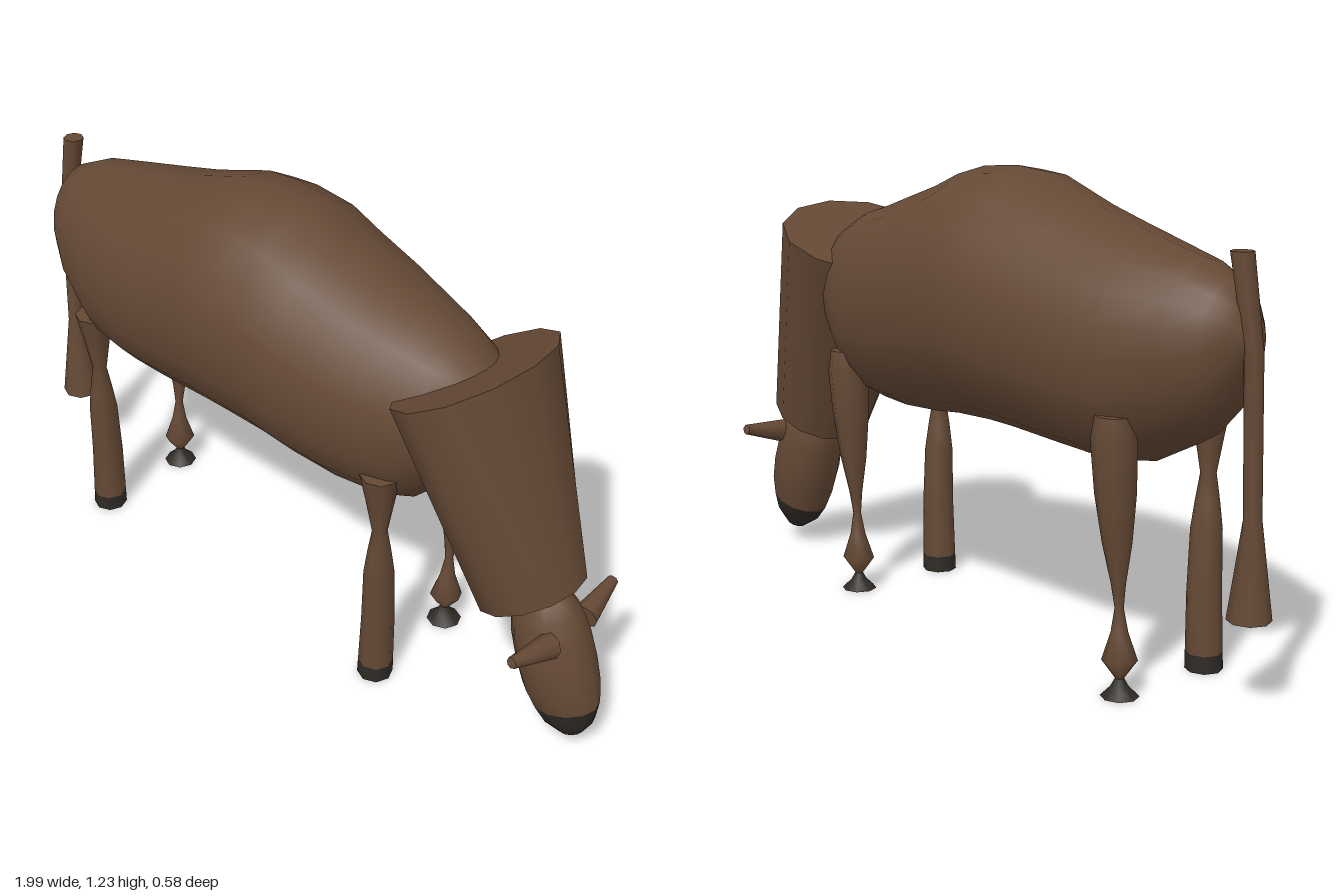
import * as THREE from 'three';

const hide = new THREE.MeshStandardMaterial({ color: 0x654935 });
hide.name = 'brown hide';
const dark = new THREE.MeshStandardMaterial({ color: 0x2f2a25 });
dark.name = 'dark horn';

// Skin elliptical rings { c: centre, u, v: half axes }, u x v along the path
function loft(rings, sides, caps = true) {
  const pos = [], index = [];
  const addRing = ({ c, u, v }) => {
    for (let j = 0; j < sides; j++) {
      const a = (j / sides) * Math.PI * 2, s = Math.sin(a), k = Math.cos(a);
      for (let n = 0; n < 3; n++) pos.push(c[n] + u[n] * k + v[n] * s);
    }
  };
  rings.forEach(addRing);
  for (let i = 0; i < rings.length - 1; i++) {
    for (let j = 0; j < sides; j++) {
      const k = (j + 1) % sides;
      const a = i * sides + j, b = i * sides + k;
      index.push(a, b, a + sides, b, b + sides, a + sides);
    }
  }
  if (caps) {
    [rings[0], rings[rings.length - 1]].forEach((ring, end) => {
      const start = pos.length / 3;
      addRing(ring);
      for (let j = 1; j < sides - 1; j++) {
        if (end) index.push(start, start + j, start + j + 1);
        else index.push(start, start + j + 1, start + j);
      }
    });
  }
  const g = new THREE.BufferGeometry();
  g.setAttribute('position', new THREE.Float32BufferAttribute(pos, 3));
  g.setIndex(index);
  g.computeVertexNormals();
  return g;
}

function part(name, geometry, material) {
  const m = new THREE.Mesh(geometry, material);
  m.name = name;
  return m;
}

// Ring lying flat, for the legs and tail
const flatRing = (x, y, z, r) => ({ c: [x, y, z], u: [r, 0, 0], v: [0, 0, r] });

// Ring across the head or neck, tilted in the xy plane
const tiltRing = (x, y, ux, uy, w) => ({ c: [x, y, 0], u: [ux, uy, 0], v: [0, 0, w] });

function createLeg(name, x, side, profile) {
  const leg = new THREE.Group();
  leg.name = name;
  const rings = profile.map(([y, r]) =>
    flatRing(x + 0.015 * Math.min(1, y / 0.6), y, side * (0.145 + 0.04 * Math.max(0, y - 0.2)), r));
  const cut = profile.findIndex(([y]) => y <= 0.045);
  leg.add(part('shin', loft(rings.slice(0, cut + 1), 8), hide));
  leg.add(part('hoof', loft(rings.slice(cut), 8), dark));
  return leg;
}

export function createModel() {
  const model = new THREE.Group();
  model.name = 'grazingAnimal';

  // Barrel body: x, belly, back, half width
  const sections = [
    [-0.94, 0.87, 0.89, 0.01], [-0.925, 0.80, 0.955, 0.065], [-0.88, 0.70, 1.015, 0.115],
    [-0.8, 0.625, 1.055, 0.165], [-0.65, 0.55, 1.09, 0.227], [-0.52, 0.538, 1.123, 0.25],
    [-0.4, 0.545, 1.155, 0.268], [-0.22, 0.556, 1.217, 0.287], [-0.13, 0.558, 1.225, 0.291],
    [0, 0.553, 1.215, 0.285], [0.1, 0.542, 1.175, 0.278], [0.24, 0.535, 1.13, 0.262],
    [0.35, 0.54, 1.095, 0.235], [0.43, 0.56, 1.075, 0.207], [0.5, 0.63, 1.045, 0.175],
    [0.6, 0.71, 0.99, 0.12], [0.66, 0.84, 0.88, 0.02],
  ];
  model.add(part('body', loft(sections.map(([x, lo, hi, w]) => ({
    c: [x, (lo + hi) / 2, 0], u: [0, (hi - lo) / 2, 0], v: [0, 0, w],
  })), 20), hide));

  // Tapering neck
  model.add(part('neck', loft([
    tiltRing(0.548, 0.983, 0.165, 0.085, 0.25),
    tiltRing(0.767, 0.428, 0.125, 0.063, 0.145),
  ], 12), hide));

  // Head: distance along its axis (0 to 1), half depth, half width
  const headRing = ([t, d, w]) =>
    tiltRing(0.79 + 0.135 * t, 0.465 - 0.415 * t, 0.957 * d, 0.288 * d, w);
  const skull = [[0, 0.03, 0.028], [0.07, 0.075, 0.058], [0.18, 0.095, 0.08], [0.32, 0.105, 0.092],
    [0.5, 0.107, 0.096], [0.66, 0.105, 0.09], [0.8, 0.096, 0.073]];
  const nose = [[0.8, 0.096, 0.073], [0.91, 0.075, 0.057], [1, 0.035, 0.028]];
  model.add(part('head', loft(skull.map(headRing), 12), hide));
  model.add(part('muzzle', loft(nose.map(headRing), 12), dark));

  // Horns pointing sideways
  for (const side of [1, -1]) {
    const horn = part(side > 0 ? 'rightHorn' : 'leftHorn', new THREE.CylinderGeometry(0.015, 0.035, 0.14, 8), hide);
    const dir = new THREE.Vector3(-0.015, 0.025, side * 0.135).normalize();
    horn.quaternion.setFromUnitVectors(new THREE.Vector3(0, 1, 0), dir);
    horn.position.set(0.875, 0.372, side * 0.14);
    model.add(horn);
  }

  // Legs: height, radius; one side is pinched high, the other low
  const highPinch = [[0.685, 0.052], [0.6, 0.037], [0.5, 0.02], [0.43, 0.031], [0.36, 0.04],
    [0.2, 0.044], [0.045, 0.047], [0, 0.048]];
  const lowPinch = [[0.69, 0.045], [0.63, 0.056], [0.5, 0.05], [0.38, 0.036], [0.28, 0.018],
    [0.22, 0.011], [0.16, 0.021], [0.09, 0.044], [0.045, 0.011], [0.025, 0.022], [0, 0.048]];
  for (const [name, x] of [['rear', -0.685], ['front', 0.385]]) {
    model.add(createLeg(name + 'RightLeg', x, 1, highPinch));
    model.add(createLeg(name + 'LeftLeg', x, -1, lowPinch));
  }

  // Hanging tail with a flared tuft
  model.add(part('tail', loft([
    flatRing(-0.912, 1.085, -0.008, 0.028), flatRing(-0.948, 0.86, 0, 0.023),
    flatRing(-0.953, 0.47, 0.008, 0.022), flatRing(-0.945, 0.225, 0.015, 0.054),
  ], 8), hide));

  return model;
}
